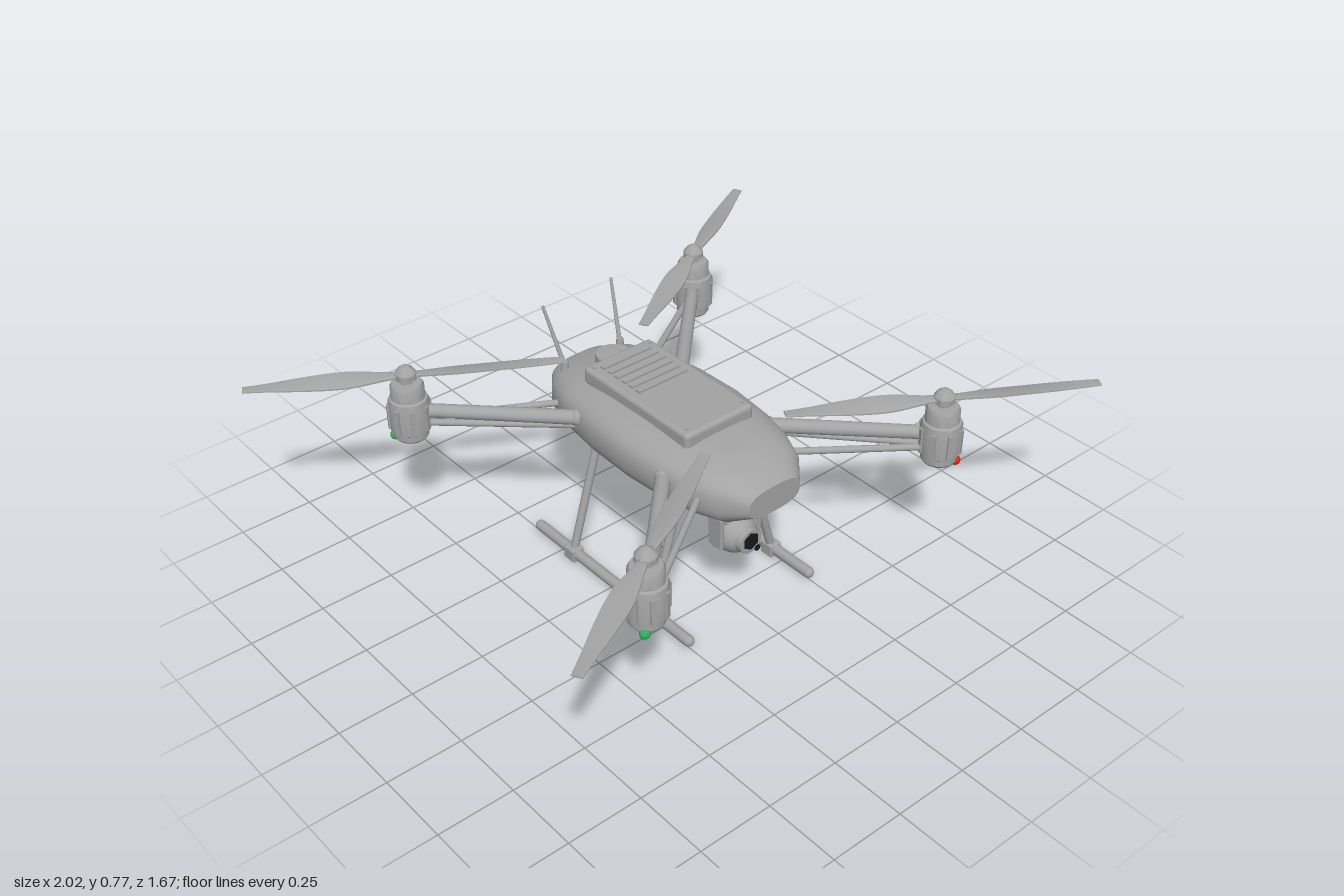
import * as THREE from 'three';
import { RoundedBoxGeometry } from 'three/addons/geometries/RoundedBoxGeometry.js';
import { toCreasedNormals } from 'three/addons/utils/BufferGeometryUtils.js';

const mat = (name, color) => Object.assign(new THREE.MeshStandardMaterial({ color }), { name });

export function createModel() {
  const root = new THREE.Group();
  root.name = 'quadcopter';
  const grey = mat('shell grey', 0xa3a3a3);
  const black = mat('lens black', 0x14171e);
  const red = mat('light red', 0xd02a24);
  const green = mat('light green', 0x2fae58);

  const add = (name, geo, x = 0, y = 0, z = 0, material = grey, parent = root) => {
    const m = new THREE.Mesh(geo, material);
    m.name = name;
    m.position.set(x, y, z);
    parent.add(m);
    return m;
  };
  const V = (x, y, z) => new THREE.Vector3(x, y, z);
  const rod = (name, a, b, r0, r1 = r0, sides = 14) => {
    const d = b.clone().sub(a);
    const m = add(name, new THREE.CylinderGeometry(r1, r0, d.length(), sides));
    m.position.copy(a).addScaledVector(d, 0.5);
    m.quaternion.setFromUnitVectors(V(0, 1, 0), d.normalize());
    return m;
  };
  const lathe = (pts, n = 28) => toCreasedNormals(
    new THREE.LatheGeometry(pts.map(p => new THREE.Vector2(...p)), n), 0.6);

  // Hull: rounded cross-sections (z, half width, top, bottom) lofted back to front
  const sections = [
    [-0.46, 0.115, 0.55, 0.432], [-0.38, 0.175, 0.582, 0.41], [-0.28, 0.208, 0.6, 0.405],
    [-0.12, 0.23, 0.612, 0.404], [0.05, 0.235, 0.614, 0.404], [0.2, 0.222, 0.608, 0.404],
    [0.3, 0.2, 0.6, 0.405], [0.39, 0.162, 0.587, 0.412], [0.46, 0.1, 0.542, 0.45]];
  const N = 40, pos = [], idx = [];
  sections.forEach(([z, w, t, b]) => {
    for (let i = 0; i < N; i++) {
      const a = i / N * Math.PI * 2, c = Math.cos(a), s = Math.sin(a), e = 0.7;
      pos.push(w * Math.sign(c) * Math.abs(c) ** e,
        (t + b) / 2 + (t - b) / 2 * Math.sign(s) * Math.abs(s) ** e, z);
    }
  });
  const last = (sections.length - 1) * N;
  for (let k = 0; k < last; k += N) for (let i = 0; i < N; i++) {
    const j = (i + 1) % N;
    idx.push(k + i, k + j, k + N + j, k + i, k + N + j, k + N + i);
  }
  for (let i = 1; i < N - 1; i++) idx.push(0, i + 1, i, last, last + i, last + i + 1);
  const hull = new THREE.BufferGeometry();
  hull.setAttribute('position', new THREE.Float32BufferAttribute(pos, 3));
  hull.setIndex(idx);
  add('hull', toCreasedNormals(hull, 0.5));

  // Battery lid with cooling fins and screws, positioning puck behind it
  add('batteryLid', new RoundedBoxGeometry(0.265, 0.06, 0.49, 3, 0.015), 0, 0.615, -0.025);
  for (let i = 0; i < 6; i++)
    add('coolingFin', new THREE.BoxGeometry(0.19, 0.008, 0.018), 0, 0.648, -0.05 - i * 0.034);
  for (const x of [-0.11, 0.11]) for (const z of [-0.24, 0.19])
    add('lidScrew', new THREE.CylinderGeometry(0.006, 0.006, 0.006, 10), x, 0.646, z);
  add('positioningPuck', new THREE.CylinderGeometry(0.055, 0.058, 0.05, 28), 0, 0.606, -0.285);

  // Camera, its mount and yoke
  add('gimbalMount', new RoundedBoxGeometry(0.12, 0.045, 0.1, 2, 0.008), 0, 0.388, 0.29);
  add('gimbalYokeTop', new RoundedBoxGeometry(0.165, 0.025, 0.06, 2, 0.006), 0, 0.357, 0.292);
  for (const s of [-1, 1]) {
    add('gimbalYokeArm', new RoundedBoxGeometry(0.014, 0.11, 0.06, 2, 0.005), s * 0.076, 0.312, 0.292);
    add('gimbalPivot', new THREE.CylinderGeometry(0.024, 0.024, 0.02, 18), s * 0.072, 0.278, 0.292)
      .rotation.z = Math.PI / 2;
  }
  add('cameraBall', new THREE.SphereGeometry(0.068, 28, 18), 0, 0.275, 0.29);
  add('lensBarrel', new THREE.CylinderGeometry(0.042, 0.046, 0.05, 24), 0, 0.275, 0.339).rotation.x = Math.PI / 2;
  add('lensGlass', new THREE.CylinderGeometry(0.03, 0.03, 0.006, 6), 0, 0.278, 0.365, black).rotation.x = Math.PI / 2;
  add('sensorWindow', new THREE.CylinderGeometry(0.011, 0.011, 0.008, 10), 0.027, 0.24, 0.363, black).rotation.x = Math.PI / 2;

  // Landing gear and antennas, mirrored
  for (const s of [-1, 1]) {
    rod('skid', V(s * 0.25, 0.026, -0.37), V(s * 0.25, 0.026, 0.37), 0.018);
    for (const e of [-1, 1]) {
      add('skidEnd', new THREE.SphereGeometry(0.018, 14, 10), s * 0.25, 0.026, e * 0.37);
      rod('leg', V(s * 0.135, 0.43, e * 0.195), V(s * 0.25, 0.026, e * 0.195), 0.0135);
      add('legClamp', new RoundedBoxGeometry(0.044, 0.046, 0.052, 2, 0.006), s * 0.25, 0.023, e * 0.195);
    }
    rod('antenna', V(s * 0.11, 0.57, -0.39), V(s * 0.135, 0.773, -0.462), 0.008, 0.005, 10);
    add('antennaBase', new THREE.CylinderGeometry(0.011, 0.014, 0.03, 12), s * 0.111, 0.577, -0.392);
  }

  // Propeller blade: a thin slab whose chord, thickness and twist vary along its length
  const L = 0.488;
  const chord = new THREE.SplineCurve([[0, 0.03], [0.12, 0.036], [0.35, 0.068], [0.6, 0.062],
    [0.85, 0.042], [1, 0.032]].map(p => new THREE.Vector2(...p)));
  const blade = new THREE.BoxGeometry(1, 1, 1, 24, 1, 6);
  const p = blade.attributes.position;
  for (let i = 0; i < p.count; i++) {
    const c = chord.getPoint(p.getX(i) + 0.5), t = c.x;
    const z = p.getZ(i) * c.y, twist = 0.28 * Math.sin(Math.PI * Math.min(1, t * 1.1)) * (1 - t * 0.4);
    const y = p.getY(i) * (0.013 - 0.007 * t) * (1 - 2 * p.getZ(i) ** 2);
    p.setXYZ(i, t * L, y + z * Math.sin(twist), z * Math.cos(twist));
  }
  const bladeGeo = toCreasedNormals(blade, 0.7);

  const motorGeo = lathe([[0, 0.43], [0.05, 0.43], [0.055, 0.437], [0.055, 0.458], [0.064, 0.465],
    [0.064, 0.56], [0.06, 0.572], [0.053, 0.576], [0.053, 0.615], [0.047, 0.626], [0.022, 0.628], [0, 0.628]]);
  const hubGeo = lathe([[0, 0.62], [0.02, 0.62], [0.02, 0.64], [0.033, 0.642], [0.033, 0.661],
    [0.024, 0.674], [0.011, 0.684], [0, 0.687]], 24);

  // Four arms, each with brace, motor, propeller and a navigation light
  for (const sx of [-1, 1]) for (const sz of [-1, 1]) {
    const X = sx * 0.578, Z = sz * 0.573;
    rod('arm', V(sx * 0.2, 0.525, sz * 0.195), V(sx * 0.55, 0.525, sz * 0.545), 0.024, 0.022, 18);
    rod('armBrace', V(sx * 0.18, 0.505, sz * 0.325), V(sx * 0.555, 0.484, sz * 0.57), 0.011);
    rod('armBrace', V(sx * 0.2, 0.5, sz * 0.19), V(sx * 0.56, 0.482, sz * 0.55), 0.011);
    add('armSocket', new THREE.SphereGeometry(0.028, 16, 12), sx * 0.207, 0.525, sz * 0.202);

    const unit = new THREE.Group();
    unit.name = 'motorUnit';
    unit.position.set(X, 0, Z);
    root.add(unit);
    add('motor', motorGeo, 0, 0, 0, grey, unit);
    for (let i = 0; i < 8; i++) {
      const a = (i + 0.5) / 8 * Math.PI * 2;
      add('motorRib', new THREE.BoxGeometry(0.016, 0.085, 0.01),
        Math.sin(a) * 0.064, 0.512, Math.cos(a) * 0.064, grey, unit).rotation.y = a;
    }
    add('propellerHub', hubGeo, 0, 0, 0, grey, unit);
    const heading = -Math.atan2(sz * 0.245, sx * 0.42);
    for (const turn of [0, Math.PI])
      add('propellerBlade', bladeGeo, 0, 0.652, 0, grey, unit).rotation.y = heading + turn;
    add('navigationLight', new THREE.SphereGeometry(0.016, 16, 12),
      sx * 0.037, 0.428, sz * 0.037, sx > 0 ? red : green, unit);
  }
  return root;
}
